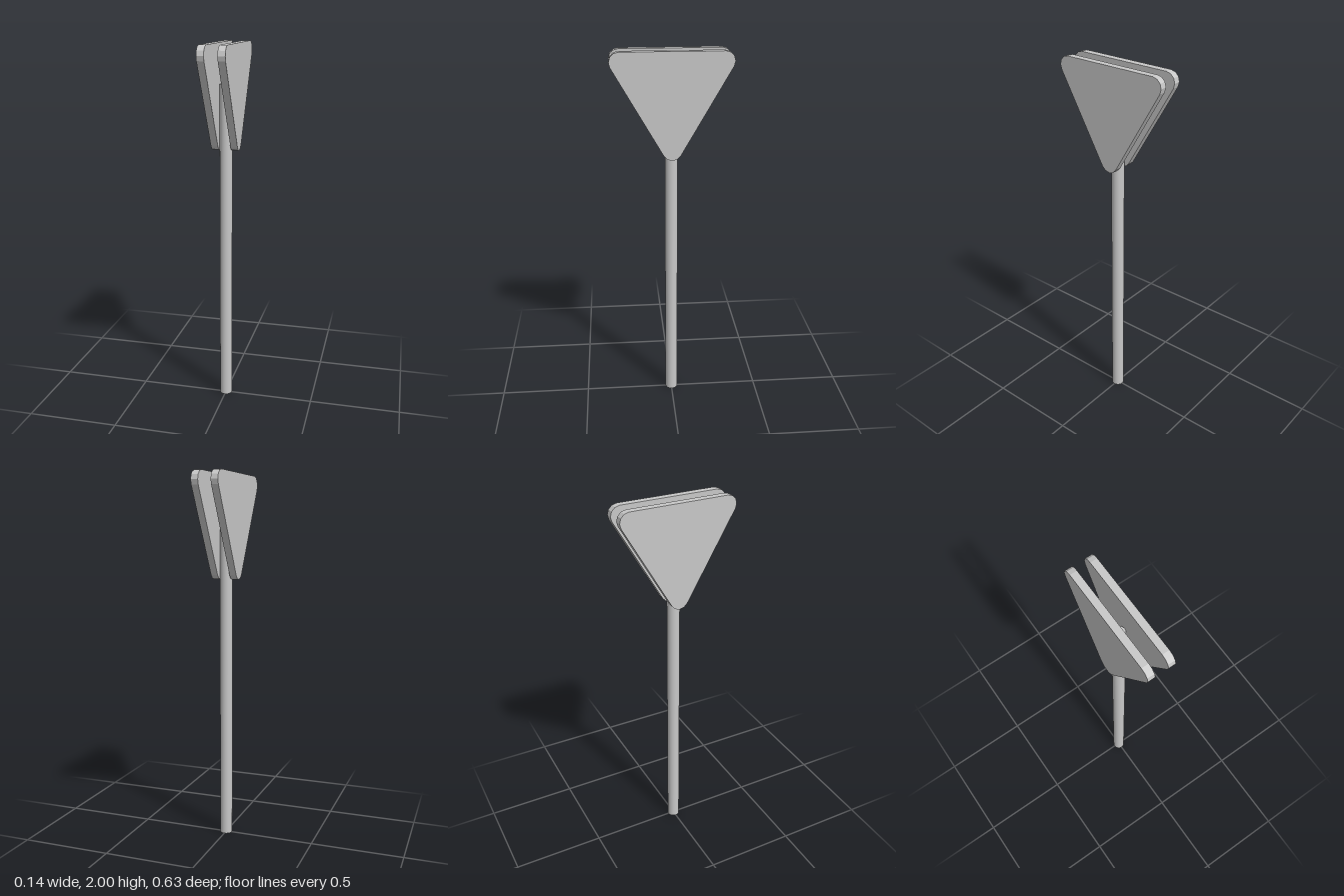
import * as THREE from 'three';

const POLE_RADIUS = 0.034, POLE_HEIGHT = 1.79;
const PLATE_THICKNESS = 0.038, CORNER_RADIUS = 0.05, CORNER_X = 0.264;

// Downward-pointing triangle with each corner rounded in four facets
function plateShape() {
  const top = 2 - CORNER_RADIUS;
  const corners = [
    [CORNER_X, top, -30],
    [-CORNER_X, top, 90],
    [0, top - CORNER_X * Math.sqrt(3), 210],
  ];
  const points = [];
  for (const [x, y, start] of corners) {
    for (let i = 0; i <= 4; i++) {
      const a = THREE.MathUtils.degToRad(start + i * 30);
      points.push(new THREE.Vector2(x + CORNER_RADIUS * Math.cos(a), y + CORNER_RADIUS * Math.sin(a)));
    }
  }
  return new THREE.Shape(points);
}

export function createModel() {
  const model = new THREE.Group();
  model.name = 'signPost';
  const grey = new THREE.MeshStandardMaterial({ color: 0xc8c8c8 });
  grey.name = 'light grey';

  // Round post
  const pole = new THREE.Mesh(new THREE.CylinderGeometry(POLE_RADIUS, POLE_RADIUS, POLE_HEIGHT, 32), grey);
  pole.name = 'pole';
  pole.position.y = POLE_HEIGHT / 2;
  model.add(pole);

  // Two triangular plates, one on each side of the post
  const plateGeometry = new THREE.ExtrudeGeometry(plateShape(), { depth: PLATE_THICKNESS, bevelEnabled: false });
  plateGeometry.translate(0, 0, -PLATE_THICKNESS / 2).rotateY(Math.PI / 2);
  for (const side of [1, -1]) {
    const plate = new THREE.Mesh(plateGeometry, grey);
    plate.name = side > 0 ? 'leftPlate' : 'rightPlate';
    plate.position.x = side * (POLE_RADIUS + PLATE_THICKNESS / 2);
    model.add(plate);
  }
  return model;
}
